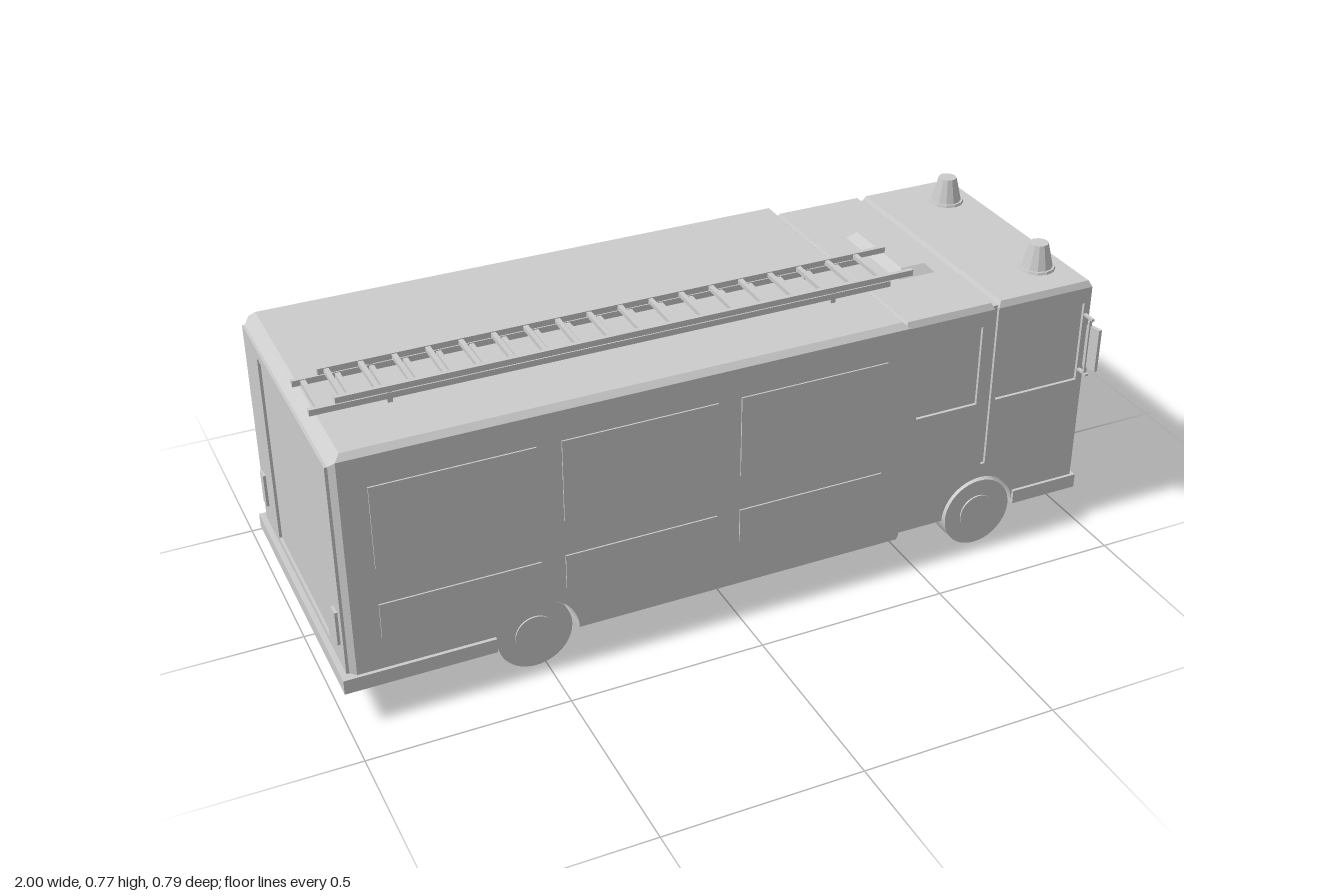
import * as THREE from 'three';

const mat = new THREE.MeshStandardMaterial({ color: 0xcccccc, flatShading: true });
const smooth = new THREE.MeshStandardMaterial({ color: 0xcccccc });
const WHEEL_Y = 0.095, WHEEL_R = 0.095, ARCH_R = 0.105, FLOOR = 0.095;
const AXLES = { rear: -0.525, front: 0.70 };

export function createModel() {
  const root = new THREE.Group();
  root.name = 'fireTruck';

  const add = (name, geo, m = mat) => {
    const mesh = new THREE.Mesh(geo, m);
    mesh.name = name;
    root.add(mesh);
    return mesh;
  };
  // Box given by its limits
  const boxGeo = (x0, x1, y0, y1, z0, z1) => new THREE.BoxGeometry(x1 - x0, y1 - y0, z1 - z0)
    .translate((x0 + x1) / 2, (y0 + y1) / 2, (z0 + z1) / 2);
  const box = (name, ...limits) => add(name, boxGeo(...limits));

  // Box whose far face (along axis, in direction dir) is drawn in, to chamfer edges
  const slab = (name, axis, dir, inset, x0, x1, y0, y1, z0, z1) => {
    const geo = boxGeo(x0, x1, y0, y1, z0, z1);
    const p = geo.attributes.position;
    const c = { x: (x0 + x1) / 2, y: (y0 + y1) / 2, z: (z0 + z1) / 2 };
    const v = new THREE.Vector3();
    for (let i = 0; i < p.count; i++) {
      v.fromBufferAttribute(p, i);
      if ((v[axis] - c[axis]) * dir > 0) {
        for (const k of ['x', 'y', 'z']) {
          if (k === axis || (k === 'y' && v.y < c.y)) continue;
          v[k] -= Math.sign(v[k] - c[k]) * inset;
        }
        p.setXYZ(i, v.x, v.y, v.z);
      }
    }
    geo.computeVertexNormals();
    return add(name, geo);
  };

  const rect = (path, x0, x1, y0, y1) => {
    path.moveTo(x0, y0);
    path.lineTo(x1, y0);
    path.lineTo(x1, y1);
    path.lineTo(x0, y1);
    path.closePath();
    return path;
  };
  const hole = (...r) => rect(new THREE.Path(), ...r);
  const extrude = (shape, depth) =>
    new THREE.ExtrudeGeometry(shape, { depth, bevelEnabled: false, curveSegments: 32 });

  // Side outline with a wheel arch, and an optional slot cut from the top edge
  const sideProfile = (x0, x1, top, axle, slot) => {
    const s = new THREE.Shape();
    s.moveTo(x0, FLOOR);
    s.lineTo(axle - ARCH_R, FLOOR);
    s.absarc(axle, WHEEL_Y, ARCH_R, Math.PI, 0, true);
    s.lineTo(x1, FLOOR);
    s.lineTo(x1, top);
    if (slot) {
      s.lineTo(slot[1], top);
      s.lineTo(slot[1], slot[2]);
      s.lineTo(slot[0], slot[2]);
      s.lineTo(slot[0], top);
    }
    s.lineTo(x0, top);
    s.closePath();
    return s;
  };

  // Equipment body with chamfered roof and end corners
  add('body', extrude(sideProfile(-0.965, 0.447, 0.703, AXLES.rear), 0.726).translate(0, 0, -0.363));
  slab('bodyRoof', 'y', 1, 0.014, -0.965, 0.447, 0.703, 0.717, -0.363, 0.363);
  slab('bodyFront', 'x', 1, 0.014, 0.447, 0.461, FLOOR, 0.703, -0.363, 0.363);
  slab('bodyRear', 'x', -1, 0.014, -0.979, -0.965, FLOOR, 0.703, -0.363, 0.363);

  // Rear wall with a recessed door, and tail lamps
  const rear = rect(new THREE.Shape(), -0.349, 0.349, 0.11, 0.689);
  rear.holes.push(hole(-0.22, 0.22, 0.15, 0.665));
  add('rearFrame', extrude(rear, 0.007).rotateY(Math.PI / 2).translate(-0.986, 0, 0));

  // Cab: core, then side skins holding the window recesses and door groove
  const groove = [0.70, 0.712, 0.24];
  add('cabCore', extrude(sideProfile(0.45, 0.977, 0.692, AXLES.front), 0.664).translate(0, 0, -0.332));
  const skin = sideProfile(0.45, 0.977, 0.687, AXLES.front, groove);
  skin.holes.push(hole(0.495, 0.67, 0.425, 0.645), hole(0.725, 0.967, 0.425, 0.645));
  for (const z of [0.332, -0.34]) add('cabSide', extrude(skin, 0.008).translate(0, 0, z));
  slab('cabRoofRear', 'y', 1, 0.008, 0.45, groove[0], 0.687, 0.703, -0.34, 0.34);
  slab('cabRoofFront', 'y', 1, 0.008, groove[1], 0.985, 0.687, 0.703, -0.34, 0.34);

  // Cab front with windscreen, grille and headlamp openings
  const face = rect(new THREE.Shape(), -0.34, 0.34, FLOOR, 0.687);
  face.holes.push(hole(-0.32, 0.32, 0.425, 0.647));
  for (let i = 0; i < 6; i++) {
    const y = 0.148 + i * 0.0494;
    face.holes.push(hole(-0.157, 0.157, y - 0.012, y + 0.012));
  }
  for (const s of [-1, 1]) {
    for (const [a, b] of [[0.178, 0.281], [0.288, 0.315]]) {
      face.holes.push(hole(Math.min(s * a, s * b), Math.max(s * a, s * b), 0.165, 0.213));
    }
  }
  add('cabFace', extrude(face, 0.008).rotateY(Math.PI / 2).translate(0.977, 0, 0));

  // Bumpers and number plate
  box('rearBumper', -1, AXLES.rear - ARCH_R, FLOOR, 0.133, -0.372, 0.372);
  box('frontBumper', AXLES.front + ARCH_R, 0.996, FLOOR, 0.133, -0.348, 0.348);
  box('numberPlate', 0.99, 1, 0.105, 0.128, -0.052, 0.052);

  for (const s of [-1, 1]) {
    const span = (a, b) => (s > 0 ? [a, b] : [-b, -a]);
    box('tailLamp', -0.993, -0.98, 0.2, 0.29, ...span(0.295, 0.325));

    // Locker doors, two rows of three
    for (const x of [-0.9, -0.45, 0]) {
      box('upperLocker', x, x + 0.39, 0.41, 0.625, ...span(0.36, 0.367));
      box('lowerLocker', x, x + 0.39, 0.22, 0.312, ...span(0.36, 0.367));
    }

    // Wheels with raised hubs
    for (const x of Object.values(AXLES)) {
      add('wheel', new THREE.CylinderGeometry(WHEEL_R, WHEEL_R, 0.062, 40)
        .rotateX(Math.PI / 2).translate(x, WHEEL_Y, s * 0.31), smooth);
      add('hub', new THREE.CylinderGeometry(0.05, 0.05, 0.01, 32)
        .rotateX(Math.PI / 2).translate(x, WHEEL_Y, s * 0.34), smooth);
    }

    // Mirrors on two arms and a post
    for (const y of [0.455, 0.612]) box('mirrorArm', 0.968, 0.976, y - 0.003, y + 0.003, ...span(0.335, 0.376));
    box('mirrorPost', 0.968, 0.976, 0.455, 0.612, ...span(0.362, 0.368));
    const mirror = add('mirror', new THREE.BoxGeometry(0.01, 0.117, 0.042));
    mirror.position.set(0.979, 0.532, s * 0.375);
    mirror.rotation.y = s * 0.2;

    // Beacons
    add('beaconBase', new THREE.CylinderGeometry(0.045, 0.047, 0.007, 12).translate(0.90, 0.706, s * 0.217));
    add('beacon', new THREE.CylinderGeometry(0.024, 0.04, 0.065, 12).translate(0.90, 0.74, s * 0.217));
  }

  // Roof hatch
  slab('roofHatch', 'y', 1, 0.022, 0.545, 0.655, 0.70, 0.724, -0.135, 0.135);

  // Two-section ladder resting on mounts
  const ladder = (name, x0, x1, y0, y1, firstRung) => {
    for (const z of [0.045, 0.183]) box(name + 'Rail', x0, x1, y0, y1, z, z + 0.012);
    for (let x = firstRung; x < x1 - 0.01; x += 0.0797) {
      box(name + 'Rung', x - 0.006, x + 0.006, y0 + 0.002, y1 - 0.002, 0.05, 0.19);
    }
  };
  ladder('lowerLadder', -0.97, 0.487, 0.728, 0.743, -0.945);
  ladder('upperLadder', -0.91, 0.55, 0.745, 0.76, -0.89);
  for (const x of [-0.786, 0.33]) {
    box('ladderMount', x - 0.006, x + 0.006, 0.715, 0.747, 0.047, 0.055);
    box('ladderMount', x - 0.006, x + 0.006, 0.715, 0.747, 0.185, 0.193);
  }
  return root;
}
